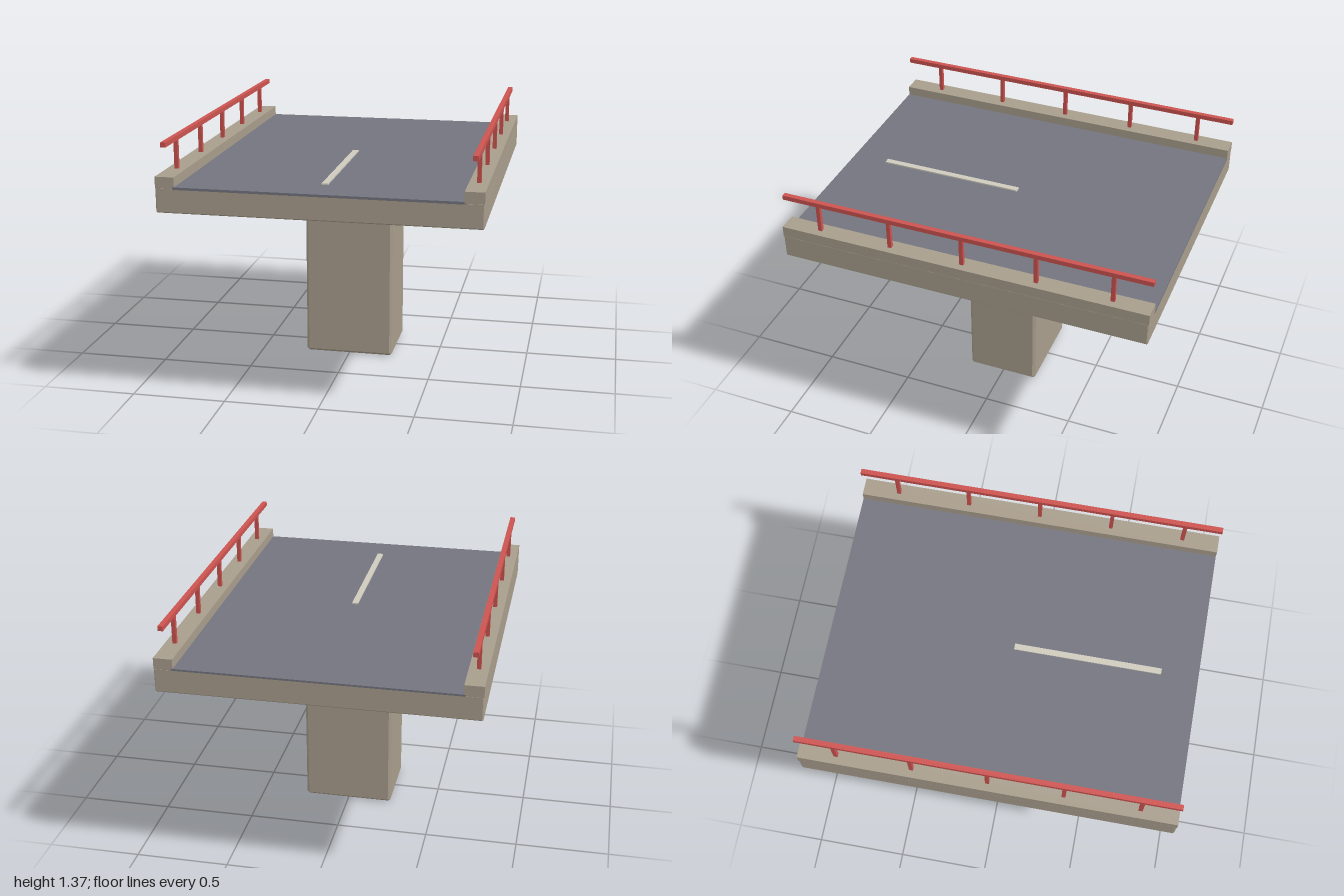
import * as THREE from 'three';
import { ConvexGeometry } from 'three/addons/geometries/ConvexGeometry.js';

const paint = (name, color) => {
  const m = new THREE.MeshStandardMaterial({ color });
  m.name = name;
  return m;
};

// Box with flat chamfers of width c on every edge
function chamferedBox(w, h, d, c) {
  const points = [];
  for (const sx of [-1, 1]) for (const sy of [-1, 1]) for (const sz of [-1, 1]) {
    const x = w / 2, y = h / 2, z = d / 2;
    points.push(
      new THREE.Vector3(sx * x, sy * (y - c), sz * (z - c)),
      new THREE.Vector3(sx * (x - c), sy * y, sz * (z - c)),
      new THREE.Vector3(sx * (x - c), sy * (y - c), sz * z));
  }
  return new ConvexGeometry(points);
}

export function createModel() {
  const concrete = paint('concrete', 0xa89d8c);
  const asphalt = paint('asphalt', 0x73747e);
  const railRed = paint('railRed', 0xcc5350);
  const linePaint = paint('linePaint', 0xcecbbd);

  const model = new THREE.Group();
  model.name = 'bridgeSegment';

  // Adds a box spanning y0..y1, optionally chamfered
  function block(name, material, w, y0, y1, d, x = 0, z = 0, chamfer = 0, parent = model) {
    const h = y1 - y0;
    const geometry = chamfer ? chamferedBox(w, h, d, chamfer) : new THREE.BoxGeometry(w, h, d);
    const mesh = new THREE.Mesh(geometry, material);
    mesh.name = name;
    mesh.position.set(x, (y0 + y1) / 2, z);
    parent.add(mesh);
  }

  // Support and deck
  block('pier', concrete, 0.494, 0, 0.95, 0.4, 0, 0, 0.014);
  block('pierCap', concrete, 0.664, 0.944, 1.004, 0.5);
  block('deck', concrete, 1.66, 1.003, 1.135, 2, 0, 0, 0.006);

  // Road surface and centre line
  block('roadSurface', asphalt, 1.48, 1.126, 1.139, 2);
  block('centreLine', linePaint, 0.033, 1.138, 1.147, 0.8, 0, 0.4);

  // Curb and railing on each side
  for (const side of [-1, 1]) {
    block('curb', concrete, 0.1, 1.13, 1.19, 2, side * 0.78);
    const railing = new THREE.Group();
    railing.name = side > 0 ? 'leftRailing' : 'rightRailing';
    model.add(railing);
    block('handrail', railRed, 0.027, 1.341, 1.366, 2, side * 0.78, 0, 0, railing);
    for (let i = -2; i <= 2; i++) {
      block('railPost', railRed, 0.021, 1.188, 1.342, 0.021, side * 0.78, i * 0.4, 0, railing);
    }
  }
  return model;
}
